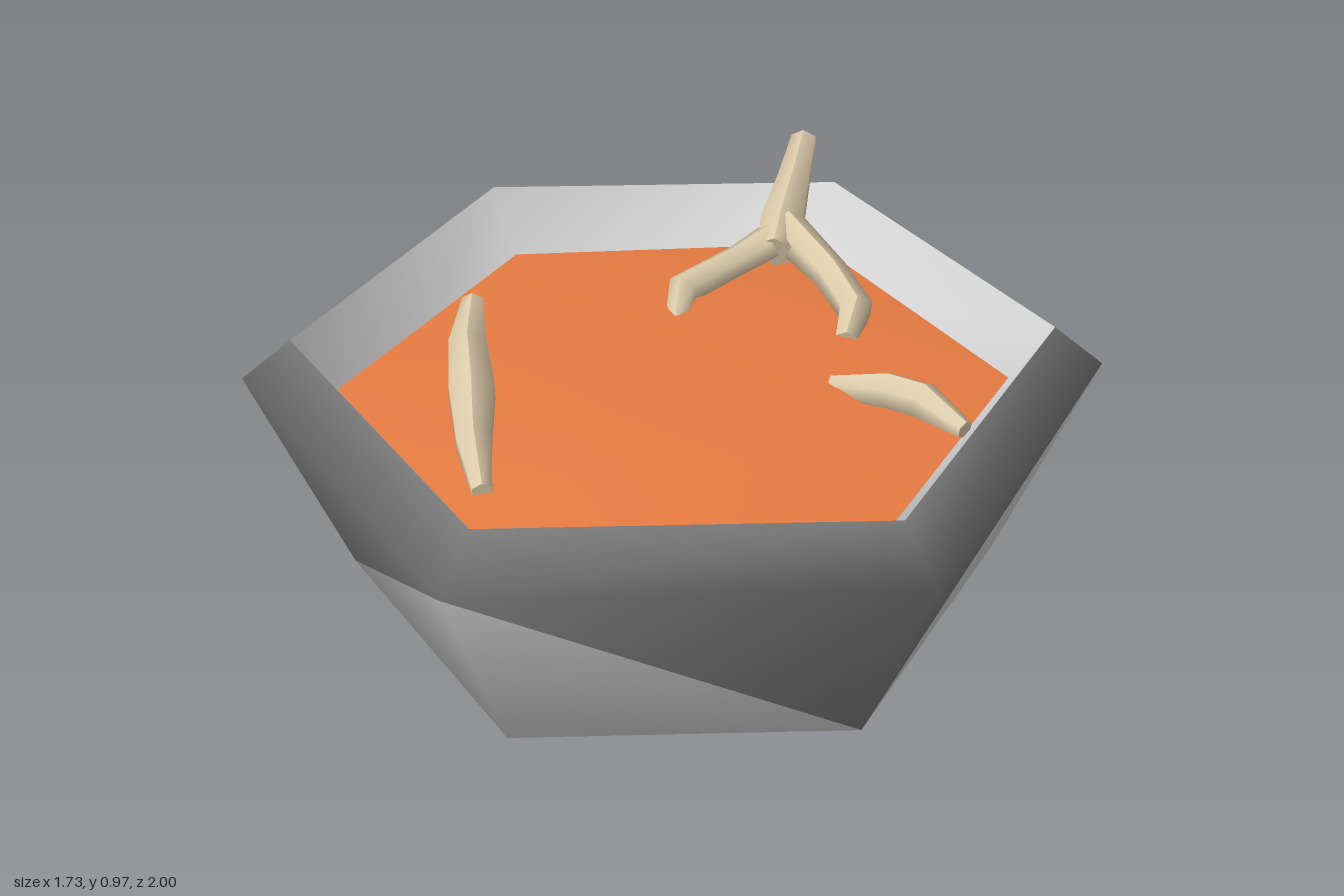
import * as THREE from 'three';
import { mergeVertices } from 'three/addons/utils/BufferGeometryUtils.js';

const mat = (name, color) => {
  const m = new THREE.MeshStandardMaterial({ color });
  m.name = name;
  return m;
};

// Corner k of a level hexagon with a corner facing +z
const corner = (r, y, k) => {
  const a = (k * Math.PI) / 3;
  return [r * Math.sin(a), y, r * Math.cos(a)];
};

// Smooth surface from a list of triangles
const surface = (tris) => {
  const g = new THREE.BufferGeometry();
  g.setAttribute('position', new THREE.Float32BufferAttribute(tris.flat(2), 3));
  const merged = mergeVertices(g, 1e-4);
  merged.computeVertexNormals();
  return merged;
};

// Two triangles between a lower edge a-b and an upper edge c-d
const quad = (a, b, c, d) => [[a, b, d], [a, d, c]];

// Tapered branch: a capped cylinder whose rows follow the given points [x, y, z, radius]
const branchGeometry = (rows) => {
  const n = rows.length - 1;
  const pts = rows.map((r) => new THREE.Vector3(r[0], r[1], r[2]));
  const g = new THREE.CylinderGeometry(1, 1, 1, 6, n);
  const pos = g.attributes.position;
  const up = new THREE.Vector3(0, 1, 0);
  for (let i = 0; i < pos.count; i++) {
    const k = Math.round((pos.getY(i) + 0.5) * n);
    const dir = pts[Math.min(k + 1, n)].clone().sub(pts[Math.max(k - 1, 0)]).normalize();
    const side = dir.clone().cross(up).normalize();
    const over = side.clone().cross(dir);
    const p = pts[k].clone()
      .addScaledVector(side, pos.getX(i) * rows[k][3])
      .addScaledVector(over, pos.getZ(i) * rows[k][3]);
    pos.setXYZ(i, p.x, p.y, p.z);
  }
  g.computeVertexNormals();
  return g;
};

export function createModel() {
  const group = new THREE.Group();
  const darkStone = mat('dark stone', 0x767676);
  const paleStone = mat('pale stone', 0xd6d6d6);
  const soupOrange = mat('soup orange', 0xe87c42);
  const boneTan = mat('bone tan', 0xdccbaa);
  const add = (name, geometry, material) => {
    const m = new THREE.Mesh(geometry, material);
    m.name = name;
    group.add(m);
  };

  // Bowl levels: foot, lower belly, widest ring, rim, inside bottom
  const foot = (k) => corner(0.405, 0, k);
  const belly = (k) => corner(0.78, 0.225, k);
  const wide = (k) => corner(1, 0.75, k);
  const rim = (k) => corner(0.88, 0.85, k);
  const inside = (k) => corner(0.7, 0.6, k);

  // Side panels are cut along alternating diagonals into a dark and a pale half
  const upper = [], lower = [], inner = [], base = [];
  for (let k = 0; k < 6; k++) {
    const j = k + 1;
    const even = k % 2 === 0;
    upper.push(...quad(wide(k), wide(j), rim(k), rim(j)));
    upper.push([belly(even ? k : j), wide(j), wide(k)]);
    lower.push([belly(k), belly(j), wide(even ? j : k)]);
    lower.push(...quad(foot(k), foot(j), belly(k), belly(j)));
    inner.push(...quad(inside(j), inside(k), rim(j), rim(k)));
    base.push([[0, 0, 0], foot(j), foot(k)]);
  }
  add('bowlUpperShell', surface(upper), darkStone);
  add('bowlLowerShell', surface(lower), paleStone);
  add('bowlInnerWall', surface(inner), paleStone);
  add('bowlBase', surface(base), paleStone);

  // Soup: a low mound sloping down to the wall
  const edge = (k) => corner(0.785, k % 3 === 0 ? 0.7 : 0.715, k);
  const mound = (k) => corner(k % 3 === 0 ? 0.47 : 0.42, k % 3 === 0 ? 0.775 : 0.755, k);
  const soup = [];
  for (let k = 0; k < 6; k++) {
    soup.push(...quad(edge(k), edge(k + 1), mound(k), mound(k + 1)));
    soup.push([mound(k), mound(k + 1), [0, 0.765, 0]]);
  }
  add('soup', surface(soup), soupOrange);

  // Pieces sticking out of the soup
  const branches = {
    leftPiece: [[-0.6, 0.73, 0.18, 0.025], [-0.54, 0.755, 0.03, 0.045], [-0.46, 0.775, -0.13, 0.06],
      [-0.4, 0.81, -0.26, 0.05], [-0.32, 0.845, -0.385, 0.028]],
    forkStem: [[0.45, 0.82, -0.25, 0.05], [0.51, 0.85, -0.31, 0.06], [0.62, 0.9, -0.42, 0.045],
      [0.725, 0.94, -0.53, 0.036]],
    forkInnerProng: [[0.13, 0.735, -0.2, 0.03], [0.2, 0.775, -0.28, 0.042], [0.36, 0.81, -0.28, 0.04],
      [0.53, 0.85, -0.29, 0.05]],
    forkFrontProng: [[0.435, 0.735, 0.08, 0.03], [0.51, 0.765, 0.01, 0.045], [0.525, 0.8, -0.12, 0.045],
      [0.51, 0.85, -0.3, 0.055]],
    frontPiece: [[0.28, 0.74, 0.24, 0.03], [0.35, 0.77, 0.36, 0.045], [0.385, 0.775, 0.44, 0.045],
      [0.405, 0.76, 0.57, 0.022]],
  };
  for (const [name, rows] of Object.entries(branches)) add(name, branchGeometry(rows), boneTan);

  return group;
}
